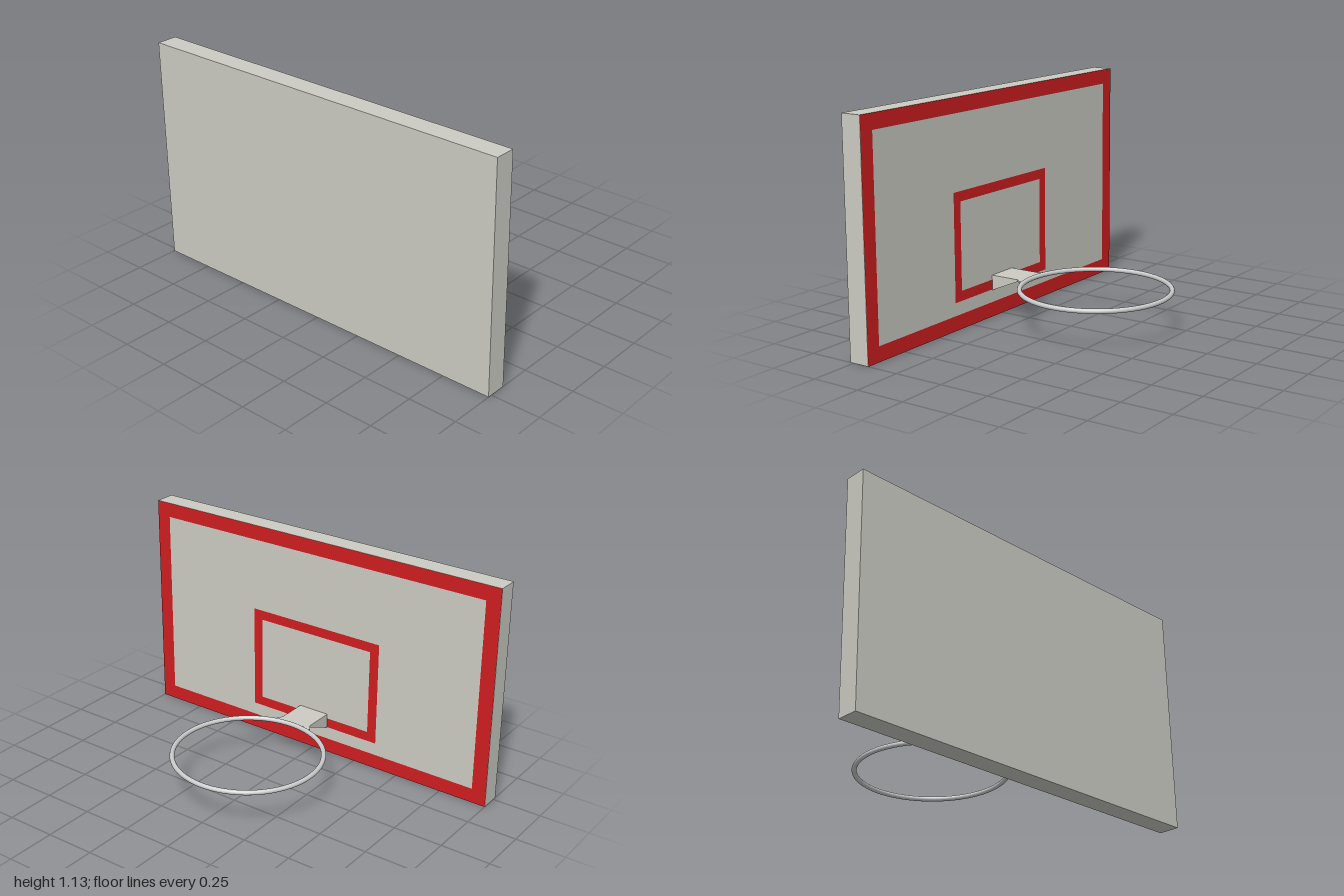
import * as THREE from 'three';

const BOARD = { w: 2, h: 1.13, front: 0.52, back: 0.415 };
const RIM = { y: 0.21, z: -0.142, radius: 0.365, tube: 0.012 };

const grey = new THREE.MeshStandardMaterial({ color: 0xcccccc });
const panel = new THREE.MeshStandardMaterial({ color: 0xccccc4 });
const red = new THREE.MeshStandardMaterial({ color: 0xd01e20 });

function addPart(group, name, geometry, material) {
  const mesh = new THREE.Mesh(geometry, material);
  mesh.name = name;
  group.add(mesh);
  return mesh;
}

const rectPoints = (halfW, y0, y1) => [
  new THREE.Vector2(-halfW, y0), new THREE.Vector2(halfW, y0),
  new THREE.Vector2(halfW, y1), new THREE.Vector2(-halfW, y1),
];

// Flat rectangular outline facing -z, painted on the playing side
function outline(halfW, y0, y1, t) {
  const shape = new THREE.Shape(rectPoints(halfW, y0, y1));
  shape.holes.push(new THREE.Path(rectPoints(halfW - t, y0 + t, y1 - t)));
  return new THREE.ShapeGeometry(shape).rotateY(Math.PI).translate(0, 0, BOARD.back - 0.0015);
}

export function createModel() {
  const group = new THREE.Group();
  group.name = 'basketballHoop';

  // Backboard slab
  const depth = BOARD.front - BOARD.back;
  addPart(group, 'backboard', new THREE.BoxGeometry(BOARD.w, BOARD.h, depth), panel)
    .position.set(0, BOARD.h / 2, BOARD.back + depth / 2);

  // Painted border and target square
  addPart(group, 'borderLine', outline(BOARD.w / 2, 0, BOARD.h, 0.075), red);
  addPart(group, 'targetLine', outline(0.375, 0.14, 0.68, 0.05), red);

  // Wedge bracket: side profile in (z, y), extruded across x
  const wedge = new THREE.Shape([
    new THREE.Vector2(BOARD.back, 0.135), new THREE.Vector2(BOARD.back, 0.213),
    new THREE.Vector2(0.258, 0.213), new THREE.Vector2(0.258, 0.204),
  ]);
  const wedgeWidth = 0.166;
  addPart(group, 'bracket',
    new THREE.ExtrudeGeometry(wedge, { depth: wedgeWidth, bevelEnabled: false })
      .rotateY(-Math.PI / 2).translate(wedgeWidth / 2, 0, 0), panel);

  // Flared plate whose far edge follows the rim
  const plate = new THREE.Shape();
  const a = Math.asin(0.1 / RIM.radius);
  plate.moveTo(0.083, 0.26);
  plate.lineTo(-0.083, 0.26);
  plate.lineTo(-0.102, 0.235);
  plate.absarc(0, RIM.z, RIM.radius, Math.PI / 2 + a, Math.PI / 2 - a, true);
  plate.lineTo(0.102, 0.235);
  plate.closePath();
  addPart(group, 'rimPlate',
    new THREE.ExtrudeGeometry(plate, { depth: 0.01, bevelEnabled: false, curveSegments: 12 })
      .rotateX(Math.PI / 2).translate(0, 0.213, 0), panel);

  // Rim
  addPart(group, 'rim',
    new THREE.TorusGeometry(RIM.radius, RIM.tube, 16, 72).rotateX(Math.PI / 2), grey)
    .position.set(0, RIM.y, RIM.z);

  return group;
}
